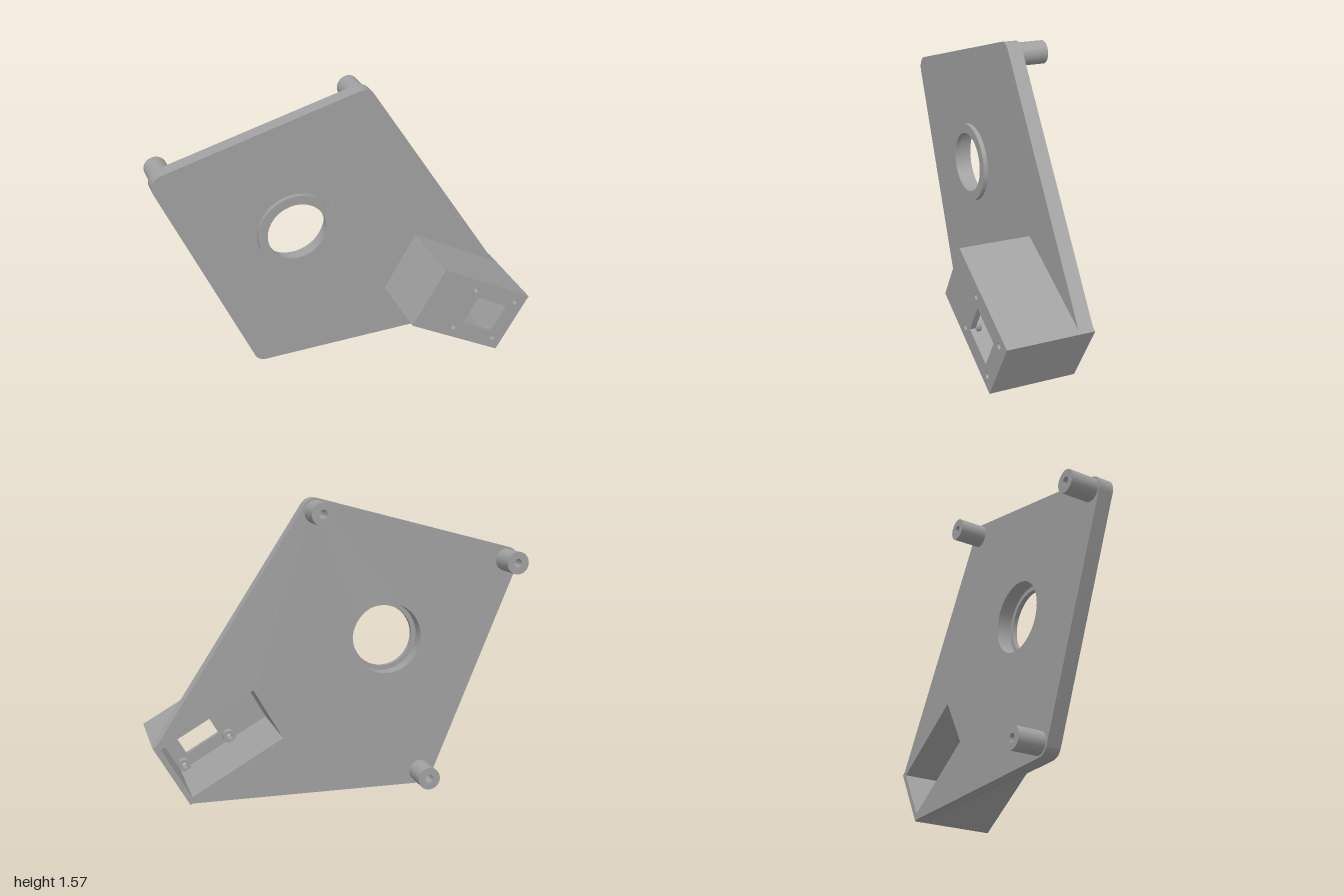
import * as THREE from 'three';
import { toCreasedNormals } from 'three/addons/utils/BufferGeometryUtils.js';

const BACK = -0.16, FACE = -0.08, FRONT = 0.31, WALL = 0.03;
const deg = Math.PI / 180;
const TILT = -30 * deg;                  // slope of the motor housing
const MOUNT = [0.715, 0.277];            // centre of the housing window
// housing outline in its own tilted frame: [u0, v0, u1, v1]
const OUTER = [-0.407, -0.185, 0.213, 0.185];
const INNER = [OUTER[0] + WALL, OUTER[1] + WALL, OUTER[2] - WALL, OUTER[3] - WALL];

const toPlate = (u, v) => new THREE.Vector2(u, v)
  .rotateAround(new THREE.Vector2(), TILT)
  .add(new THREE.Vector2(...MOUNT));

const rect = ([a, b, c, d], map = (u, v) => new THREE.Vector2(u, v)) =>
  [map(a, b), map(c, b), map(c, d), map(a, d)];

const circle = (Type, x, y, r) => {
  const p = new Type();
  p.absarc(x, y, r, 0, Math.PI * 2, false);
  return p;
};

export function createModel() {
  const group = new THREE.Group();
  const grey = new THREE.MeshStandardMaterial({ color: 0xa0a0a0 });
  grey.name = 'grey plastic';

  function add(parent, name, geometry) {
    const mesh = new THREE.Mesh(toCreasedNormals(geometry, 0.5), grey);
    mesh.name = name;
    parent.add(mesh);
    return mesh;
  }
  function slab(parent, name, shape, z0, z1) {
    const g = new THREE.ExtrudeGeometry(shape, { depth: z1 - z0, bevelEnabled: false, curveSegments: 24 });
    g.translate(0, 0, z0);
    return add(parent, name, g);
  }

  // Base plate: rounded corners around the three posts, housing corner at lower right
  const posts = [[-0.93, 1.23], [-0.455, 0.085], [0.13, 1.51]];
  const R = 0.07;
  const plate = new THREE.Shape();
  plate.absarc(...posts[0], R, 104.8 * deg, 202.5 * deg, false);
  plate.absarc(...posts[1], R, 202.5 * deg, 270 * deg, false);
  plate.lineTo(0.795, 0.017);
  for (const v of [OUTER[1], OUTER[3]]) {
    const p = toPlate(OUTER[2], v);
    plate.lineTo(p.x, p.y);
  }
  plate.lineTo(0.968, 0.346);
  plate.absarc(...posts[2], R, 33 * deg, 104.8 * deg, false);
  plate.closePath();
  const bore = [-0.257, 0.835];
  plate.holes.push(circle(THREE.Path, ...bore, 0.19));
  plate.holes.push(new THREE.Path(rect(INNER, toPlate)));
  slab(group, 'basePlate', plate, BACK, FACE);

  // Raised collar, narrower than the bore behind it
  const collar = circle(THREE.Shape, ...bore, 0.217);
  collar.holes.push(circle(THREE.Path, ...bore, 0.165));
  slab(group, 'collar', collar, FACE, -0.055);

  // Standoff posts with blind screw holes
  const profile = [[0.06, 0], [0.06, 0.15], [0.022, 0.15], [0.022, 0.02], [0, 0.02]]
    .map(([x, y]) => new THREE.Vector2(x, y));
  for (const [x, y] of posts) {
    const post = add(group, 'standoffPost', new THREE.LatheGeometry(profile, 32));
    post.rotation.x = -Math.PI / 2;
    post.position.set(x, y, BACK);
  }

  // Tilted motor housing, open at the back
  const housing = new THREE.Group();
  housing.name = 'motorHousing';
  housing.position.set(...MOUNT, 0);
  housing.rotation.z = TILT;
  group.add(housing);

  const walls = new THREE.Shape(rect(OUTER));
  walls.holes.push(new THREE.Path(rect(INNER)));
  slab(housing, 'housingWalls', walls, FACE, FRONT - WALL);

  // Front wall with window and four screw holes, each backed by a boss
  const front = new THREE.Shape(rect(OUTER));
  front.holes.push(new THREE.Path(rect([-0.105, -0.0875, 0.105, 0.0875])));
  for (const u of [-0.147, 0.147]) {
    for (const v of [-0.126, 0.126]) {
      front.holes.push(circle(THREE.Path, u, v, 0.016));
      const boss = circle(THREE.Shape, u, v, 0.034);
      boss.holes.push(circle(THREE.Path, u, v, 0.016));
      slab(housing, 'screwBoss', boss, FRONT - WALL - 0.045, FRONT - WALL);
    }
  }
  slab(housing, 'housingFront', front, FRONT - WALL, FRONT);

  return group;
}
